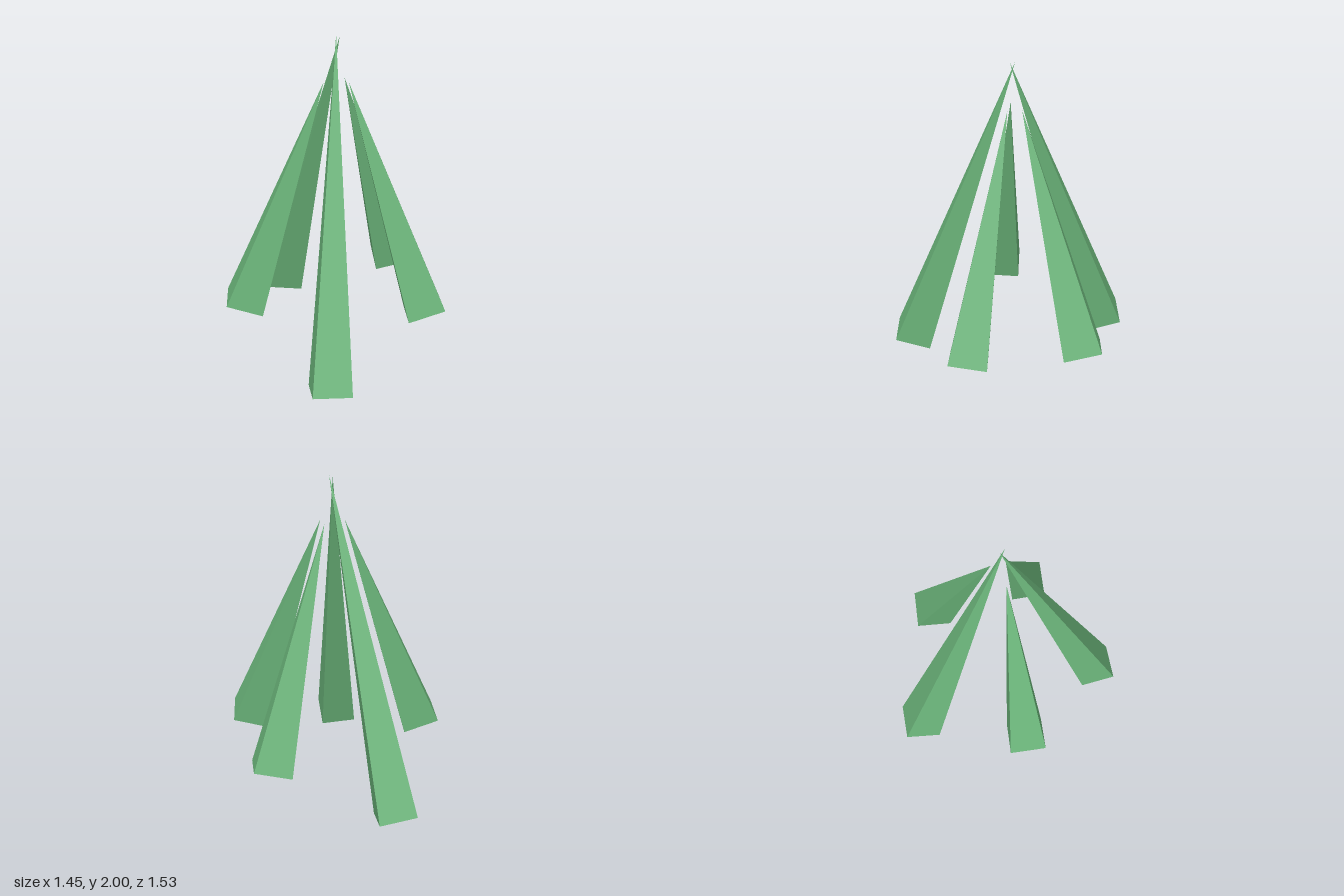
import * as THREE from 'three';

const RADIUS = 0.165;
const material = new THREE.MeshStandardMaterial({ color: 0x6bb57a, flatShading: true });

// Four-sided spike running from its pointed tip down to a square base
function makeSpike(name, tip, base) {
  const top = new THREE.Vector3(...tip);
  const bottom = new THREE.Vector3(...base);
  const up = top.clone().sub(bottom);
  const height = up.length();
  up.normalize();
  const spike = new THREE.Mesh(new THREE.ConeGeometry(RADIUS, height, 4), material);
  spike.name = name;
  spike.position.copy(top).add(bottom).multiplyScalar(0.5);
  // Lean forward or back first, then sideways
  spike.rotation.set(Math.asin(up.z), 0, Math.atan2(-up.x, up.y), 'ZXY');
  return spike;
}

export function createModel() {
  const model = new THREE.Group();
  model.name = 'spikeCluster';
  const spikes = [
    // Long spikes reaching the ground
    ['longBackSpike', [-0.02, 2.0, 0.065], [0.19, 0.058, -0.61]],
    ['longFrontRightSpike', [-0.012, 2.0, 0.033], [-0.57, 0.058, 0.45]],
    // Short raised spikes
    ['shortLeftSpike', [0.053, 1.735, 0.043], [0.57, 0.318, 0.043]],
    ['shortFrontSpike', [0.005, 1.735, 0.113], [0.16, 0.318, 0.605]],
    ['shortBackRightSpike', [-0.083, 1.735, 0.0], [-0.495, 0.318, -0.31]],
  ];
  for (const [name, tip, base] of spikes) model.add(makeSpike(name, tip, base));
  return model;
}
